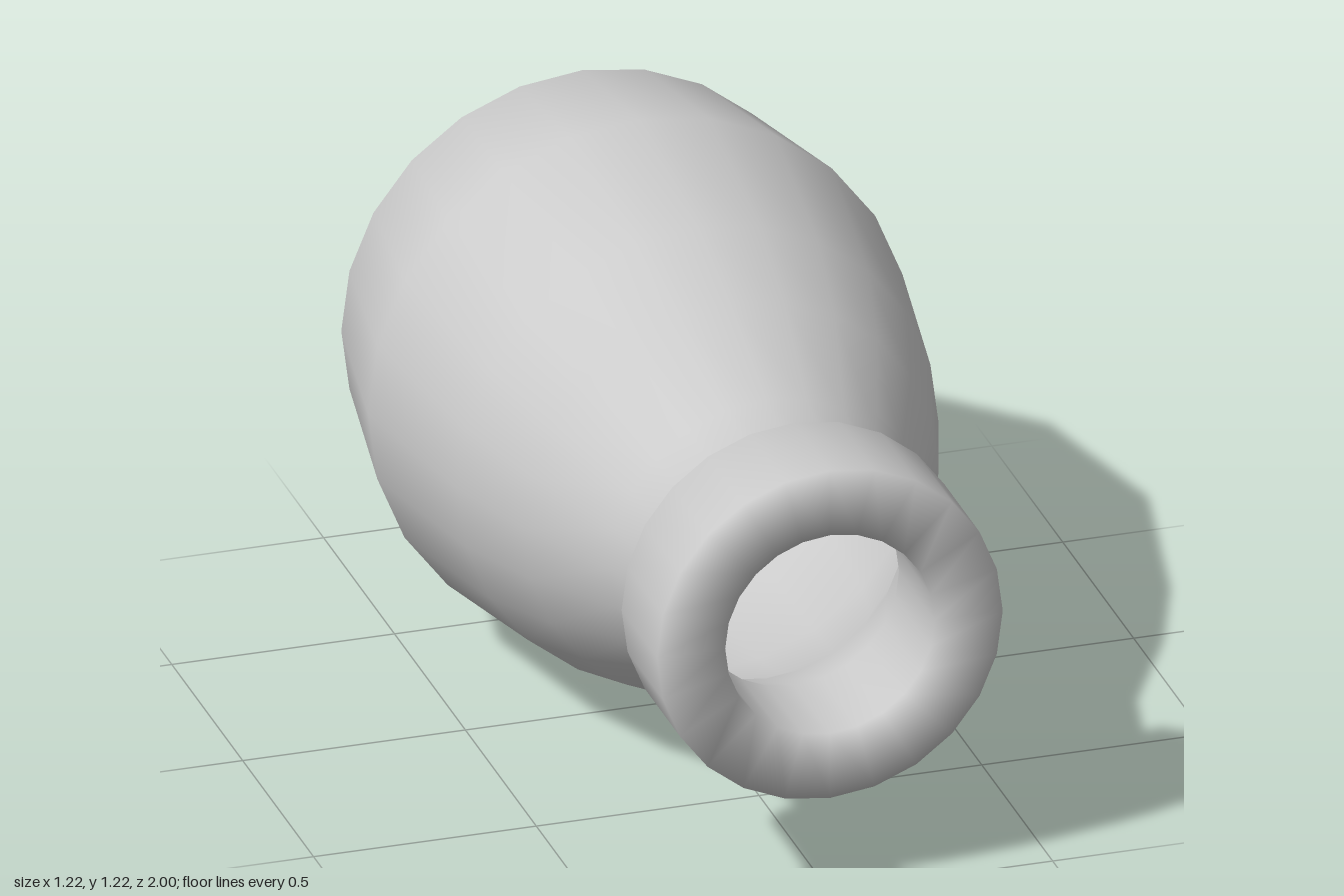
import * as THREE from 'three';

const SIDES = 24;
const RADIUS = 0.61;

// Profiles as [radius, position along z]
const OUTSIDE = [
  [0, -1], [0.378, -1], [0.54, -0.75], [0.61, -0.34], [0.54, 0.07],
  [0.467, 0.3], [0.35, 0.55], [0.316, 0.75],
];
const LIP = [[0.388, 0.75], [0.388, 1], [0.235, 1]];
const INSIDE = [
  [0.235, 0.75], [0.31, 0.55], [0.445, 0.3], [0.52, 0.07],
  [0.59, -0.34], [0.52, -0.74], [0.365, -0.97], [0, -0.97],
];

export function createModel() {
  const group = new THREE.Group();
  group.name = 'lyingVase';

  // One continuous smooth shell: outer body, thick lip, hollow interior
  const points = [...OUTSIDE, ...LIP, ...INSIDE].map(([r, z]) => new THREE.Vector2(r, z));
  const geometry = new THREE.LatheGeometry(points, SIDES);

  // Lay the vase down with its mouth facing forward
  geometry.rotateX(Math.PI / 2);
  geometry.translate(0, RADIUS, 0);

  const vase = new THREE.Mesh(geometry, new THREE.MeshStandardMaterial({ color: 0xcccccc }));
  vase.name = 'vaseShell';
  group.add(vase);
  return group;
}
